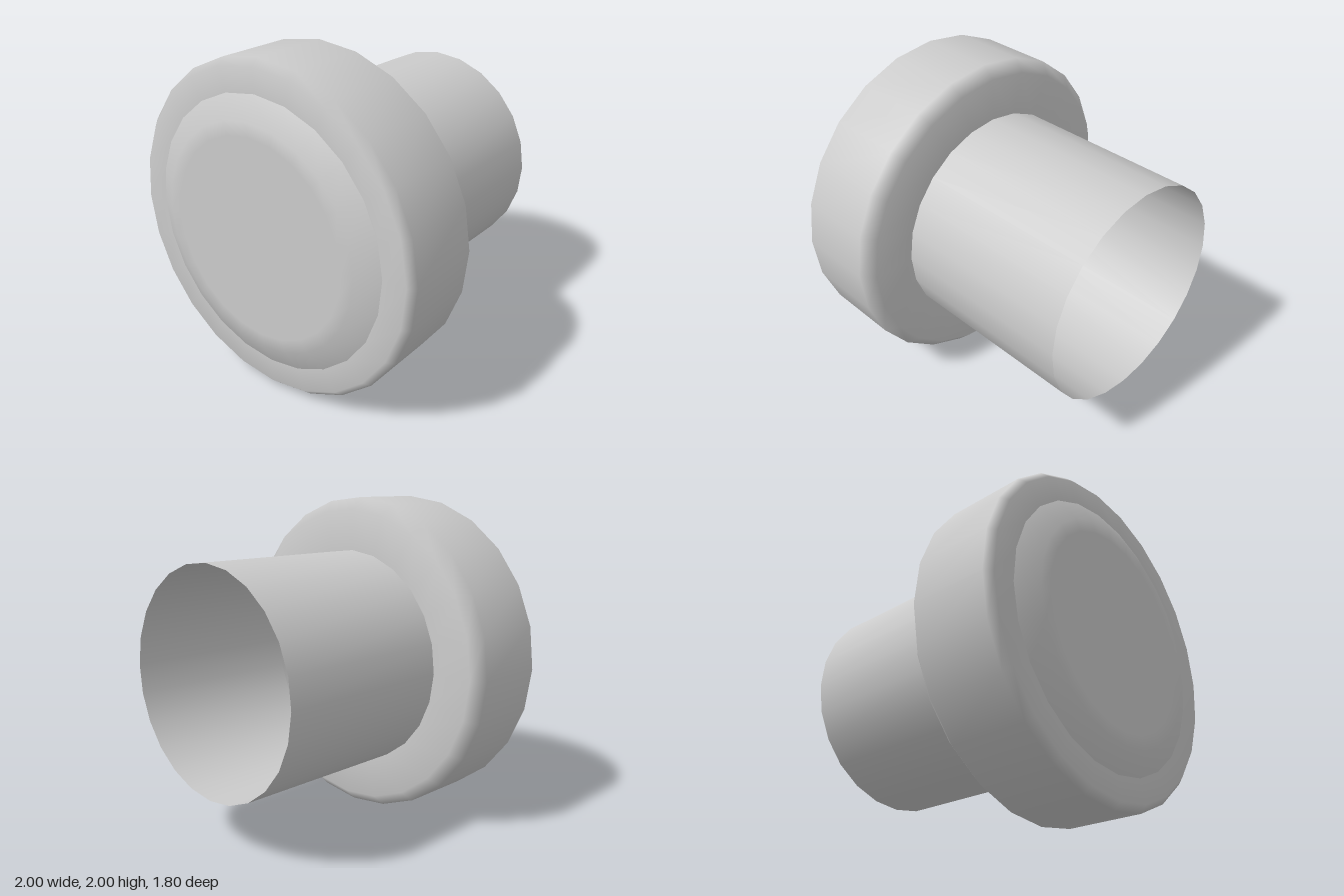
import * as THREE from 'three';

const SIDES = 24;
const TURN = THREE.MathUtils.degToRad(1.1);

export function createModel() {
  const group = new THREE.Group();
  const material = new THREE.MeshStandardMaterial({ color: 0xcccccc, side: THREE.DoubleSide });

  // Revolves a [radius, z] profile about the z axis, listed from back to front
  function turned(name, profile) {
    const points = profile.map(([r, z]) => new THREE.Vector2(r, z));
    const geometry = new THREE.LatheGeometry(points, SIDES, TURN);
    geometry.rotateX(Math.PI / 2);
    const mesh = new THREE.Mesh(geometry, material);
    mesh.name = name;
    mesh.position.y = 1;
    group.add(mesh);
  }

  // Open hollow stem at the back
  turned('stem', [[0.675, -0.9], [0.675, 0.24]]);

  // Wide head with bevelled rims
  turned('head', [[0.675, 0.24], [0.93, 0.24], [1, 0.31], [1, 0.79], [0.96, 0.833], [0.81, 0.833]]);

  // Raised front face with a sloping edge
  turned('frontFace', [[0.815, 0.833], [0.68, 0.9], [0.6, 0.9], [0, 0.9]]);

  return group;
}
